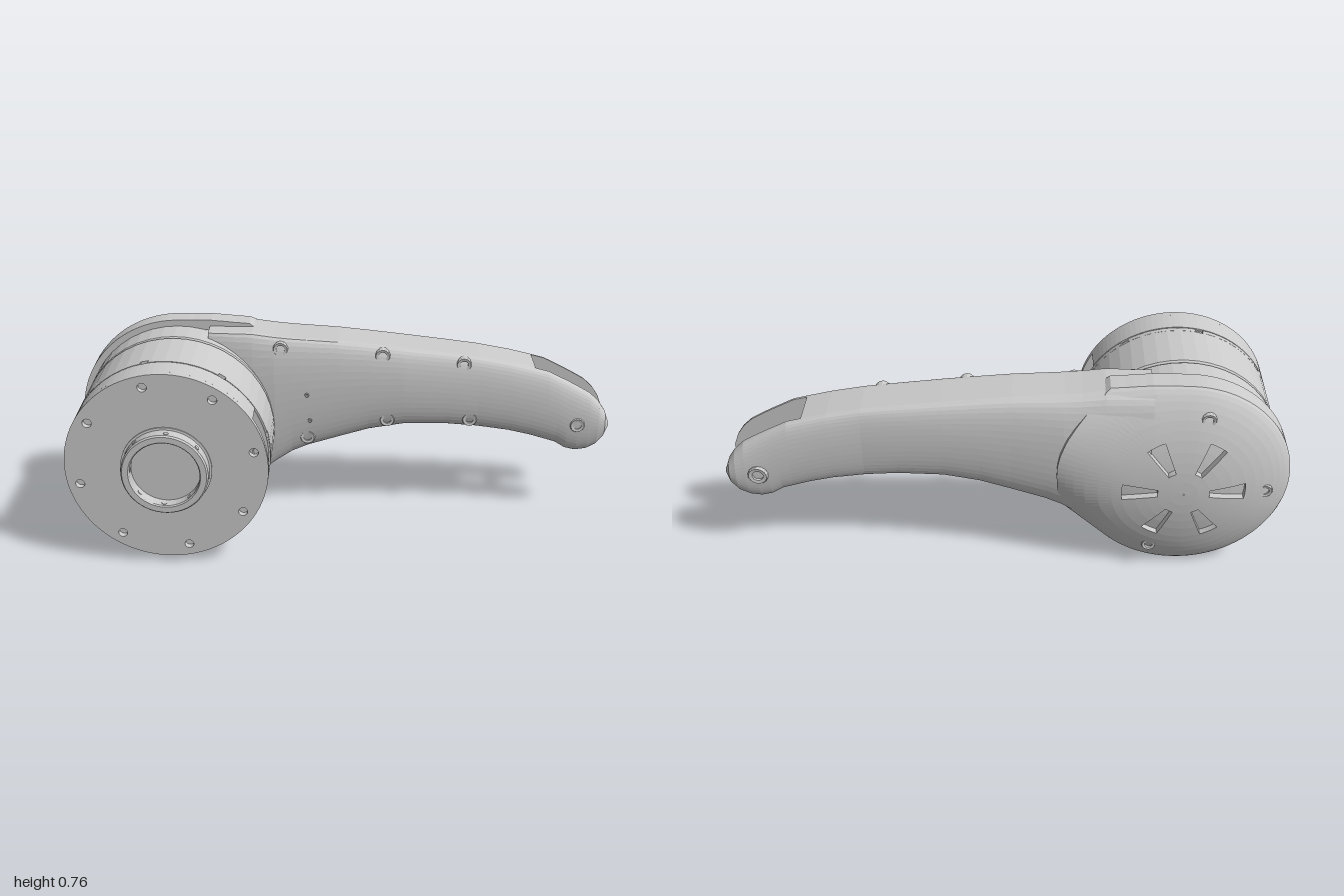
import * as THREE from 'three';

const CX = -0.62, CY = 0.383, R = 0.357, RC = 0.38, TAU = Math.PI * 2;
const mat = new THREE.MeshStandardMaterial({ color: 0xcccccc, flatShading: true, side: THREE.DoubleSide });

// Linear lookup in a table of [x, value] pairs
function lookup(table, x) {
  if (x <= table[0][0]) return table[0][1];
  for (let i = 1; i < table.length; i++) {
    const [x0, v0] = table[i - 1], [x1, v1] = table[i];
    if (x <= x1) return v0 + (v1 - v0) * (x - x0) / (x1 - x0);
  }
  return table[table.length - 1][1];
}

// Surface from a rectangular net of points; skip(i, j) leaves cells open
function net(nu, nv, point, skip = () => false) {
  const pos = [], idx = [], w = nv + 1;
  for (let i = 0; i <= nu; i++) for (let j = 0; j <= nv; j++) pos.push(...point(i, j));
  for (let i = 0; i < nu; i++) for (let j = 0; j < nv; j++) {
    if (skip(i, j)) continue;
    const a = i * w + j, b = a + w;
    idx.push(a, b, a + 1, b, b + 1, a + 1);
  }
  const g = new THREE.BufferGeometry();
  g.setAttribute('position', new THREE.Float32BufferAttribute(pos, 3));
  g.setIndex(idx);
  g.computeVertexNormals();
  return g;
}

// Arm outline and bulge as functions of x
const TOP = [[-0.5, 0.74], [-0.34, 0.738], [-0.23, 0.722], [0, 0.706], [0.275, 0.674], [0.49, 0.647], [0.62, 0.622],
  [0.757, 0.588], [0.86, 0.535], [0.92, 0.5], [0.955, 0.467], [0.98, 0.43], [0.997, 0.385]];
const BOT = [[-0.5, 0.2], [-0.36, 0.14], [-0.26, 0.217], [-0.2, 0.257], [-0.14, 0.283], [-0.02, 0.32], [0.09, 0.353],
  [0.22, 0.375], [0.38, 0.376], [0.57, 0.36], [0.7, 0.33], [0.8, 0.3], [0.84, 0.275], [0.88, 0.266], [0.92, 0.272],
  [0.955, 0.292], [0.98, 0.325], [0.997, 0.37]];
const FRONT = [[-0.5, 0.025], [-0.3, 0.052], [0.2, 0.055], [0.5, 0.046], [0.95, 0.045], [0.98, 0.04], [0.997, 0.02]];
const BACK = [[-0.5, 0.08], [-0.2, 0.074], [0, 0.06], [0.5, 0.037], [0.75, 0.042], [0.95, 0.05], [0.98, 0.044], [0.997, 0.022]];
const ZF = -0.105, ZB = -0.235;
const STATIONS = [-0.5, -0.42, -0.34, -0.26, -0.2, -0.14, -0.02, 0.09, 0.22, 0.38, 0.5, 0.62, 0.7, 0.76, 0.8, 0.84, 0.88,
  0.92, 0.955, 0.98, 0.99, 0.997];

function armZ(x, y, back) {
  const top = lookup(TOP, x), bot = lookup(BOT, x), t = (2 * y - top - bot) / (top - bot);
  const d = Math.pow(Math.max(0, 1 - t * t), 0.35);
  return back ? ZB - lookup(BACK, x) * d : ZF + lookup(FRONT, x) * d;
}
function armShell(back) {
  const n = 20;
  return net(STATIONS.length - 1, n + 1, (i, j) => {
    const x = STATIONS[i], top = lookup(TOP, x), bot = lookup(BOT, x);
    const y = (top + bot) / 2 + (top - bot) / 2 * Math.cos(Math.PI * (j > n ? 0 : j) / n);
    return [x, y, j % n && j < n ? armZ(x, y, back) : back ? ZB : ZF];
  });
}

// Rear cap: round on the drum, running out over the arm root
const capTop = x => x < -0.5 ? 0.763 : 0.763 - 0.09 * (x + 0.5);
const capBot = x => x < -0.36 ? CY - Math.sqrt(RC * RC - (x - CX) ** 2) : 0.106 + (x + 0.36) * 0.9;
const capEdge = y => y > 0.45 ? -0.18 - 0.17 * ((y - 0.45) / 0.3) ** 2 : -0.18 - 0.02 * ((y - 0.45) / 0.2) ** 2;
function capZ(x, y) {
  let t = Math.hypot(x - CX, y - CY) / RC;
  if (x > CX) t = (2 * y - capTop(x) - capBot(x)) / (capTop(x) - capBot(x));
  const run = Math.max(0, x - CX) / 0.44;
  return -0.238 - (0.105 - 0.018 * run * run) * Math.pow(Math.max(0, 1 - t * t), 0.72);
}
function capRadius(a) {
  for (let r = RC; ; r += 0.001) {
    const x = CX + r * Math.cos(a), y = CY + r * Math.sin(a);
    if (x <= CX || y > capTop(x) || x > capEdge(y) || y < capBot(x)) return r;
  }
}
const SEG = 120, SLOT = 20;
const INNER = [0.002, 0.05, 0.09, 0.13, 0.17, 0.215, 0.25], OUTER = [0.25, 0.5, 0.7, 0.85, 0.95, 1];
const polar = (r, a, dz = 0) => {
  const x = CX + r * Math.cos(a), y = CY + r * Math.sin(a);
  return [x, y, capZ(x, y) + dz];
};
function capGeometry() {
  const n = INNER.length + OUTER.length;
  const radii = Array.from({ length: SEG + 1 }, (_, i) => capRadius(i / SEG * TAU));
  return net(SEG, n + 1, (i, j) => {
    const a = i / SEG * TAU, rim = radii[i];
    if (j < INNER.length) return polar(INNER[j], a);
    if (j < n) return polar(0.25 + (rim - 0.25) * OUTER[j - INNER.length], a);
    const r = j === n ? rim : rim - 0.04;
    return [CX + r * Math.cos(a), CY + r * Math.sin(a), -0.162];
  }, (i, j) => j >= 2 && j < 5 && (i + 3) % SLOT < 6);
}

// Extruded round plate between two z values
function plate(shape, z0, z1) {
  return new THREE.ExtrudeGeometry(shape, { depth: z1 - z0, bevelEnabled: false, curveSegments: 48 })
    .translate(CX, CY, z0);
}
function disc(r, holes = []) {
  const s = new THREE.Shape().absarc(0, 0, r, 0, TAU);
  for (const [x, y, hr] of holes) s.holes.push(new THREE.Path().absarc(x, y, hr, 0, TAU, true));
  return s;
}
// Turned part along z, from [radius, z] pairs
const turned = (pts, seg = 48) =>
  new THREE.LatheGeometry(pts.map(p => new THREE.Vector2(...p)), seg).rotateX(Math.PI / 2);

export function createModel() {
  const model = new THREE.Group();
  const add = (name, geo, x = 0, y = 0, z = 0) => {
    const m = new THREE.Mesh(geo, mat);
    m.name = name;
    m.position.set(x, y, z);
    model.add(m);
    return m;
  };
  const bolt = (name, x, y, z, r, dir) => {
    const m = add(name, turned([[0, -0.008], [r * 0.55, -0.008], [r * 0.55, 0.003], [r * 0.9, 0.005], [r, 0], [r, -0.03]], 14), x, y, z);
    if (dir < 0) m.rotation.y = Math.PI;
  };
  const angles = Array.from({ length: 8 }, (_, k) => (11.5 + 45 * k) * Math.PI / 180);

  // Motor drum: body, notched rim, pocketed base and drilled face plate
  add('drumBody', turned([[0, 0.16], [R, 0.16], [R, -0.038], [R - 0.006, -0.045], [0, -0.045]]), CX, CY);
  const notched = new THREE.Shape();
  angles.forEach((a, k) => {
    const h = 0.04, next = a + Math.PI / 4;
    notched.absarc(0, 0, R, a + h, next - h);
    notched.lineTo((R - 0.025) * Math.cos(next - h), (R - 0.025) * Math.sin(next - h));
    notched.lineTo((R - 0.025) * Math.cos(next + h), (R - 0.025) * Math.sin(next + h));
  });
  add('notchedRim', plate(notched, 0.16, 0.179));
  add('rimGroove', plate(disc(R - 0.006), 0.179, 0.184));
  const a0 = -0.134, a1 = 0.536, pocketed = new THREE.Shape();
  pocketed.absarc(0, 0, R, a1, a0 + TAU);
  pocketed.lineTo(0.325 * Math.cos(a0), 0.325 * Math.sin(a0));
  pocketed.lineTo(0.325 * Math.cos(a1), 0.325 * Math.sin(a1));
  add('pocketedBase', plate(pocketed, 0.184, 0.27));
  for (const a of [0.1, 0.3]) {
    add('pocketSocket', new THREE.BoxGeometry(0.03, 0.05, 0.05), CX + 0.315 * Math.cos(a), CY + 0.315 * Math.sin(a), 0.225).rotation.z = 0.2;
  }
  add('facePlate', plate(disc(R, angles.map(a => [0.314 * Math.cos(a), 0.314 * Math.sin(a), 0.016])), 0.27, 0.292));
  add('hub', turned([[0.16, 0.292], [0.16, 0.297], [0.152, 0.298], [0.152, 0.339], [0.147, 0.345], [0.126, 0.345], [0.122, 0.34],
    [0.122, 0.3], [0, 0.3]]), CX, CY);
  for (let k = 0; k < 8; k++) {
    const a = -0.09 + k * Math.PI / 4;
    add('hubSetScrew', new THREE.CylinderGeometry(0.009, 0.009, 0.034, 8).rotateZ(Math.PI / 2),
      CX + 0.137 * Math.cos(a), CY + 0.137 * Math.sin(a), 0.325).rotation.z = a;
  }

  // Arm housing: round root, two bulged shells and the wall between them
  add('armRoot', turned([[0, -0.048], [R - 0.006, -0.048], [R, -0.055], [R, -0.235], [0, -0.235]]), CX, CY);
  add('frontShell', armShell(false));
  add('backShell', armShell(true));
  const END = 0.71, INSIDE = 0.42, T = 0.02;
  const xs = STATIONS.filter(x => x < END).concat(END), cavity = xs.filter(x => x > INSIDE);
  const wall = [
    ...xs.map(x => [x, lookup(TOP, x)]),
    ...cavity.slice().reverse().map(x => [x, lookup(TOP, x) - T]),
    ...cavity.map(x => [x, lookup(BOT, x) + T]),
    ...xs.slice().reverse().map(x => [x, lookup(BOT, x)]),
  ];
  add('armWall', new THREE.ExtrudeGeometry(new THREE.Shape(wall.map(p => new THREE.Vector2(...p))),
    { depth: ZF - ZB, bevelEnabled: false }).translate(0, 0, ZB));
  add('cavityBracket', new THREE.BoxGeometry(0.16, 0.15, 0.05), 0.56, 0.5, -0.17);

  // Fork pin and its bosses
  add('forkPin', new THREE.CylinderGeometry(0.022, 0.022, 0.21, 20).rotateX(Math.PI / 2), 0.875, 0.385, -0.17);
  for (const z of [ZF, ZB]) {
    add('forkBoss', new THREE.CylinderGeometry(0.055, 0.055, 0.006, 24).rotateX(Math.PI / 2), 0.875, 0.385, z);
  }
  bolt('pinHead', 0.875, 0.385, -0.288, 0.036, -1);

  // Arm screws and pin holes
  for (const [x, y, r] of [[-0.235, 0.685, 0.028], [0.14, 0.66, 0.028], [0.44, 0.625, 0.028], [0.16, 0.405, 0.028],
    [0.47, 0.405, 0.028], [-0.14, 0.33, 0.028], [0.875, 0.385, 0.028], [-0.14, 0.51, 0.008], [-0.13, 0.405, 0.008]]) {
    bolt('armScrew', x, y, armZ(x, y, false), r, 1);
  }

  // Vented rear cap with recessed wedge slots and three screws
  add('rearCap', capGeometry());
  const step = TAU / SEG, r0 = INNER[2], r1 = INNER[5];
  for (let k = 0; k < 6; k++) {
    const at = i => (k * SLOT - 3 + i) * step, loop = [];
    for (let i = 0; i <= 6; i++) loop.push([r0, at(i)]);
    for (const r of INNER.slice(3, 6)) loop.push([r, at(6)]);
    for (let i = 5; i >= 0; i--) loop.push([r1, at(i)]);
    for (const r of [INNER[4], INNER[3], r0]) loop.push([r, at(0)]);
    add('ventWall', net(loop.length - 1, 1, (i, j) => polar(...loop[i], j * 0.025)));
    add('ventFloor', net(6, 3, (i, j) => polar(INNER[2 + j], at(i), 0.025)));
  }
  for (const deg of [103, 183, 290]) {
    const [x, y, z] = polar(0.29, deg * Math.PI / 180);
    bolt('capScrew', x, y, z, 0.026, -1);
  }
  return model;
}
